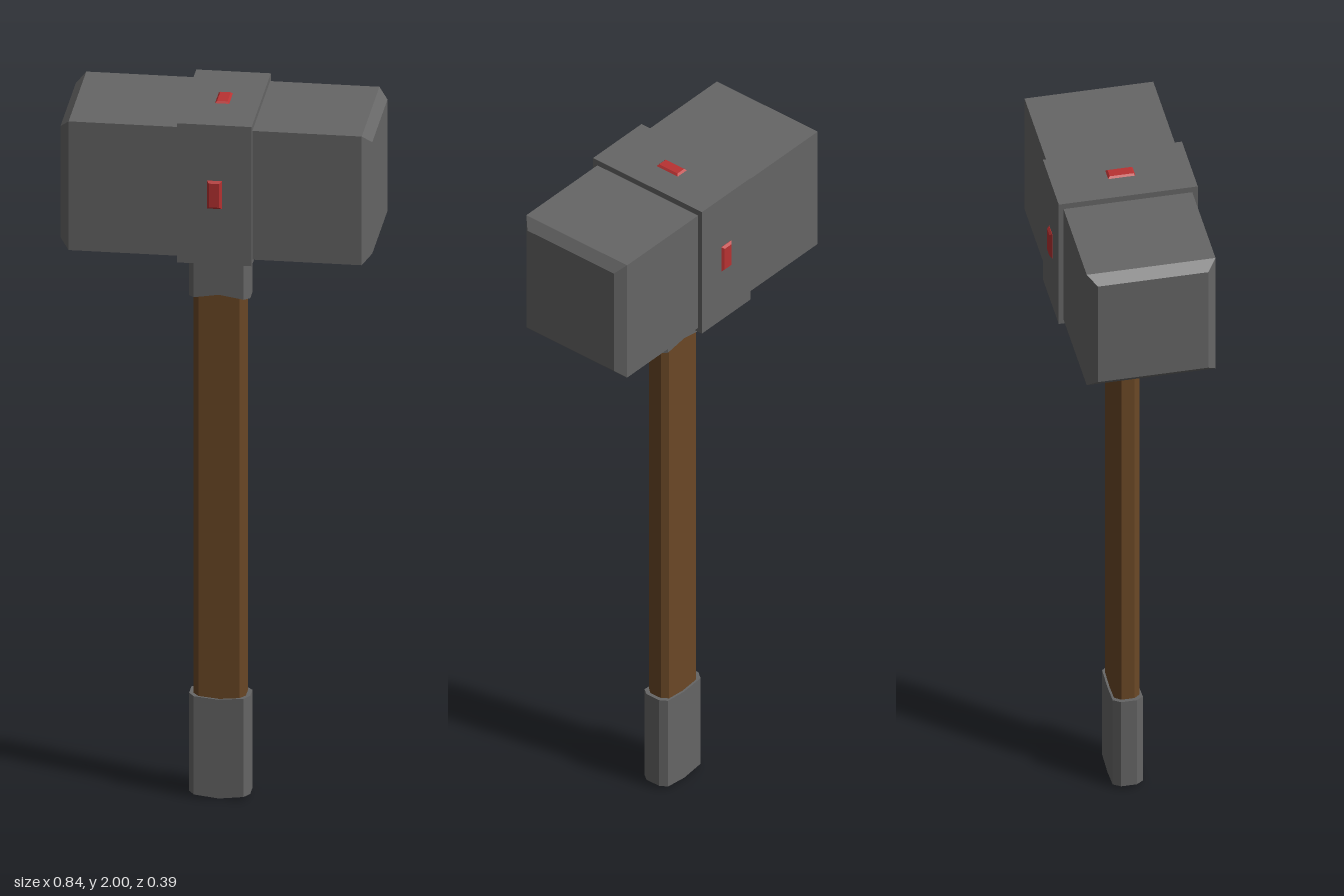
import * as THREE from 'three';

const paint = (color) => new THREE.MeshStandardMaterial({ color, flatShading: true });

function add(group, name, geometry, material, x, y, z) {
  const mesh = new THREE.Mesh(geometry, material);
  mesh.name = name;
  mesh.position.set(x, y, z);
  group.add(mesh);
  return mesh;
}

// Box along x whose two ends are chamfered on all four edges
function chamferedBar(length, height, depth, bevel) {
  const geo = new THREE.BoxGeometry(length, height, depth, 3, 1, 1);
  const p = geo.attributes.position;
  for (let i = 0; i < p.count; i++) {
    const x = p.getX(i);
    if (Math.abs(x) > length * 0.4) {
      p.setY(i, p.getY(i) - Math.sign(p.getY(i)) * bevel);
      p.setZ(i, p.getZ(i) - Math.sign(p.getZ(i)) * bevel);
    } else {
      p.setX(i, Math.sign(x) * (length / 2 - bevel));
    }
  }
  geo.computeVertexNormals();
  return geo;
}

// Upright flat octagonal bar; its end faces fold along the middle line by the given lifts
function gripBar(hx, hz, y0, y1, lift0 = 0, lift1 = 0) {
  const a = hx - 0.015, b = hz * 0.52;
  const outline = [[0, hz], [a, hz], [hx, b], [hx, -b], [a, -hz],
    [0, -hz], [-a, -hz], [-hx, -b], [-hx, b], [-a, hz]];
  const geo = new THREE.CylinderGeometry(1, 1, 2, 10, 1);
  const p = geo.attributes.position;
  for (let i = 0; i < p.count; i++) {
    const x = p.getX(i), z = p.getZ(i), top = p.getY(i) > 0;
    let q = [0, 0];
    if (Math.hypot(x, z) > 0.5) {
      const k = Math.round(Math.atan2(x, z) / (Math.PI / 5));
      q = outline[(k + 10) % 10];
    }
    const fold = (top ? lift1 : lift0) * (1 - Math.abs(q[0]) / hx);
    p.setXYZ(i, q[0], (top ? y1 : y0) + fold, q[1]);
  }
  geo.computeVertexNormals();
  return geo;
}

export function createModel() {
  const model = new THREE.Group();
  model.name = 'hammer';
  const metal = paint(0x666666), wood = paint(0x6b4826), red = paint(0xb83232);

  // Head with the raised band around its middle
  add(model, 'head', chamferedBar(0.836, 0.37, 0.35, 0.025), metal, 0, 1.793, -0.002);
  add(model, 'headBand', new THREE.BoxGeometry(0.2, 0.4, 0.378), metal, 0, 1.795, -0.001);

  // Red studs on the front, back and top of the band
  const stud = chamferedBar(0.03, 0.08, 0.04, 0.006);
  add(model, 'frontStud', stud, red, 0, 1.795, 0.18).rotation.y = -Math.PI / 2;
  add(model, 'backStud', stud, red, 0, 1.795, -0.182).rotation.y = Math.PI / 2;
  const topStud = chamferedBar(0.03, 0.04, 0.076, 0.006);
  add(model, 'topStud', topStud, red, 0, 1.985, -0.001).rotation.z = Math.PI / 2;

  // Handle with its metal collar and end cap
  add(model, 'handle', gripBar(0.07, 0.035, 0.1, 1.6), wood, -0.008, 0, 0.003);
  add(model, 'collar', gripBar(0.082, 0.041, 1.435, 1.62, 0.013, 0), metal, -0.008, 0, 0.003);
  add(model, 'endCap', gripBar(0.082, 0.041, 0.01, 0.292, -0.01, -0.008), metal, -0.008, 0, 0.003);
  return model;
}
